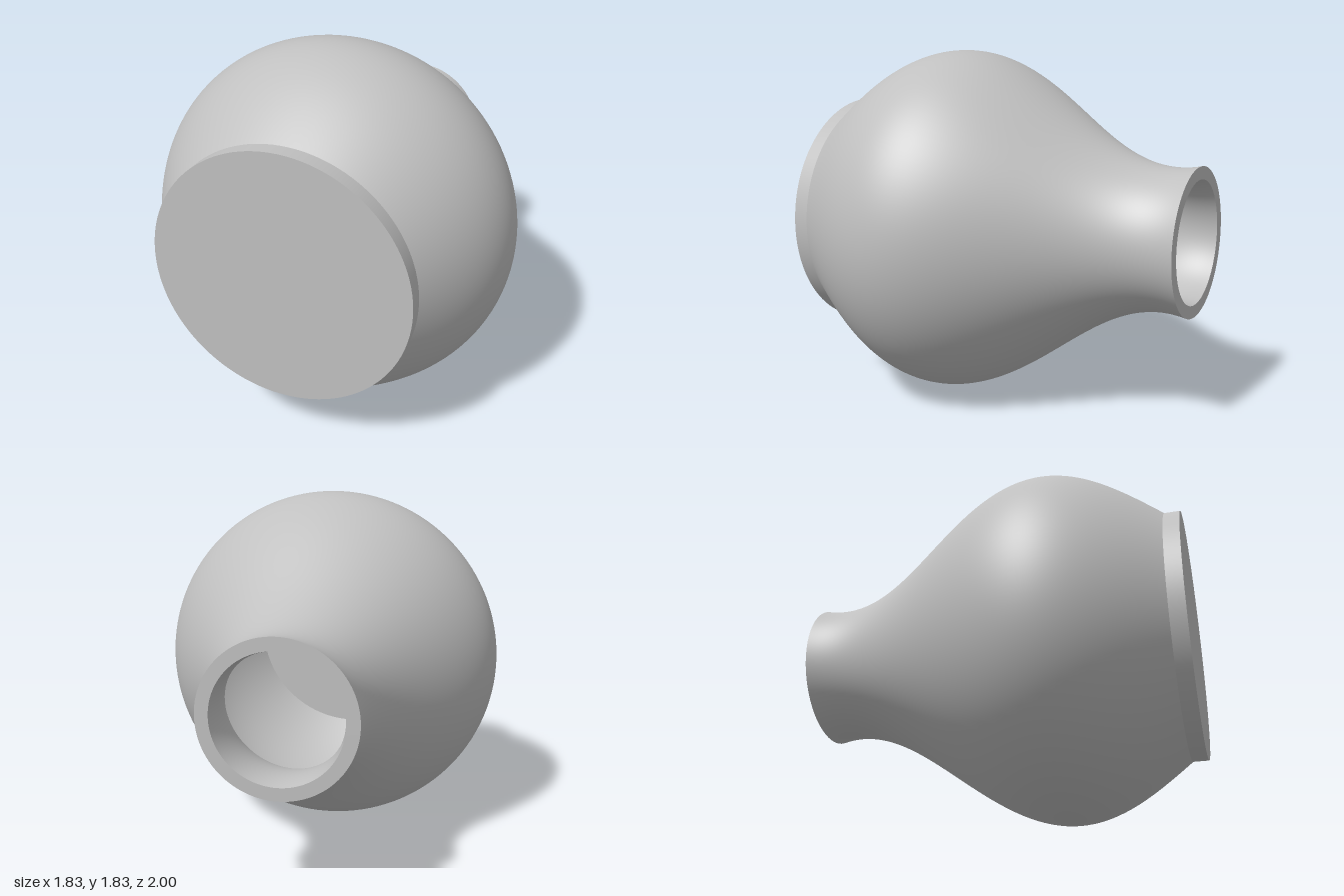
import * as THREE from 'three';

const CENTRE_Y = 0.92, BASE_R = 0.638, SWELL = 0.278;
const BASE_H = 0.08, BODY_L = 1.92, WALL = 0.064, SIDES = 128;

// Sine-curved body radius at height h above the base disc
const radiusAt = h => BASE_R + SWELL * Math.sin(Math.PI * h / 1.2);

// Points of the body curve from base to mouth, moved inward by inset
function profile(inset) {
  const points = [];
  for (let i = 0; i <= 72; i++) {
    const h = BODY_L * i / 72;
    points.push(new THREE.Vector2(radiusAt(h) - inset, BASE_H + h));
  }
  return points;
}

export function createModel() {
  const grey = new THREE.MeshStandardMaterial({ color: 0xc0c0c0 });
  grey.name = 'light grey';

  const vase = new THREE.Group();
  vase.name = 'vase';
  const add = (name, geometry) => {
    const mesh = new THREE.Mesh(geometry, grey);
    mesh.name = name;
    vase.add(mesh);
    return mesh;
  };

  // Solid round foot, also the floor of the hollow
  add('base', new THREE.CylinderGeometry(BASE_R, BASE_R, BASE_H, SIDES)).position.y = BASE_H / 2;

  // Outer wall, flat lip and inner wall, kept separate for sharp edges
  const outer = profile(0), inner = profile(WALL);
  add('outerWall', new THREE.LatheGeometry(outer, SIDES));
  add('rim', new THREE.LatheGeometry([outer.at(-1), inner.at(-1)], SIDES));
  add('innerWall', new THREE.LatheGeometry(inner.reverse(), SIDES));

  // Lay the vase down: base to the front, mouth to the back
  vase.rotation.x = -Math.PI / 2;
  vase.position.set(0, CENTRE_Y, 1);

  const model = new THREE.Group();
  model.name = 'lyingVase';
  model.add(vase);
  return model;
}
